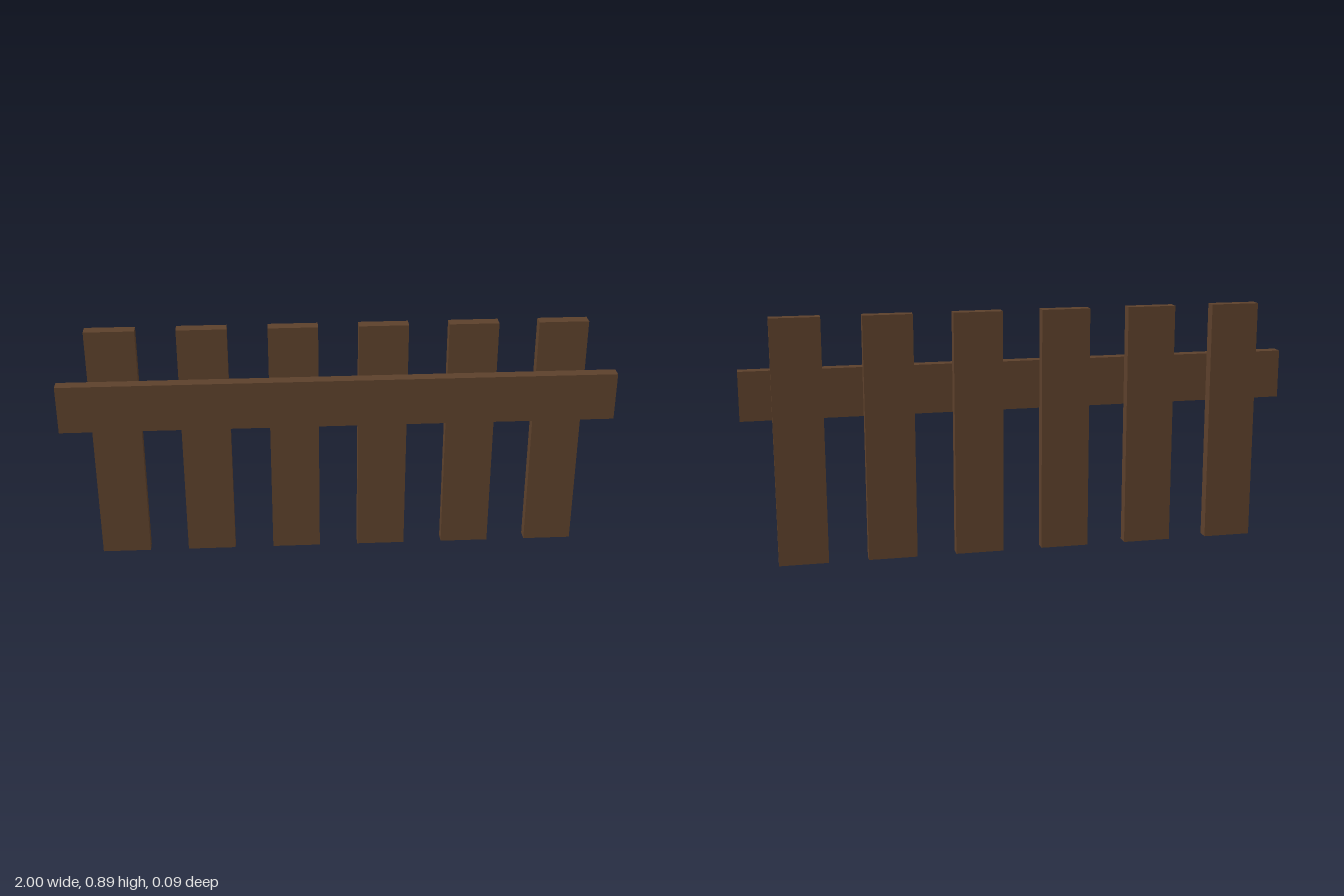
import * as THREE from 'three';

export function createModel() {
  const fence = new THREE.Group();
  fence.name = 'fence';

  const wood = new THREE.MeshStandardMaterial({ color: 0x5c402b });
  wood.name = 'brown wood';

  const boardWidth = 0.177;
  const thickness = 0.0435;

  function addBoard(name, width, height, x, y, z) {
    const board = new THREE.Mesh(new THREE.BoxGeometry(width, height, thickness), wood);
    board.name = name;
    board.position.set(x, y, z);
    fence.add(board);
  }

  // Six upright pickets, evenly spaced behind the rail
  const picketHeight = 0.89;
  const spacing = 0.32;
  for (let i = 0; i < 6; i++) {
    addBoard(`picket${i + 1}`, boardWidth, picketHeight, (i - 2.5) * spacing, picketHeight / 2, -thickness / 2);
  }

  // One long rail across the front
  addBoard('rail', 2, boardWidth, 0, 0.613, thickness / 2);

  return fence;
}
